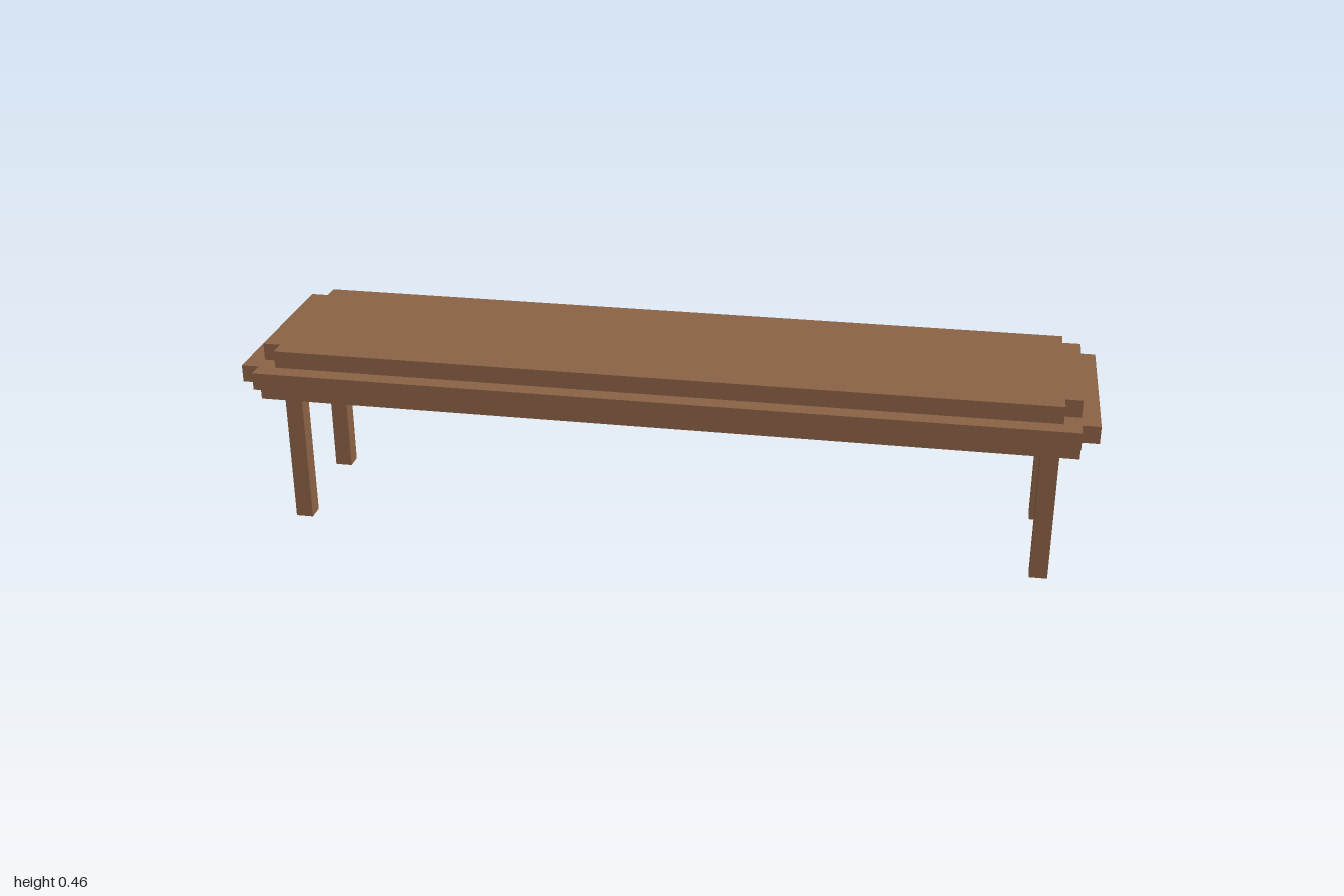
import * as THREE from 'three';

const U = 1 / 24; // one board thickness

export function createModel() {
  const group = new THREE.Group();
  const wood = new THREE.MeshStandardMaterial({ color: 0x8b6245 });
  wood.name = 'brown wood';

  // Board with one-unit square notches at the back corners, and optionally the front ones
  function board(name, halfX, halfZ, bottom, notchFront) {
    const f = notchFront ? 1 : 0;
    const outline = [
      [halfX - 1, halfZ], [halfX - 1, halfZ - 1], [halfX, halfZ - 1],
    ];
    if (f) outline.push([halfX, 1 - halfZ], [halfX - 1, 1 - halfZ], [halfX - 1, -halfZ]);
    else outline.push([halfX, -halfZ]);
    const mirrored = outline.map(([x, y]) => [-x, y]).reverse();
    const shape = new THREE.Shape(
      [...outline, ...mirrored].map(([x, y]) => new THREE.Vector2(x * U, y * U)));
    const geometry = new THREE.ExtrudeGeometry(shape, { depth: U, bevelEnabled: false });
    geometry.rotateX(-Math.PI / 2); // outline +y becomes the back (-z)
    const mesh = new THREE.Mesh(geometry, wood);
    mesh.name = name;
    mesh.position.y = bottom * U;
    group.add(mesh);
  }

  // Stacked table top
  board('lowerBoard', 23, 5, 8, false);
  board('middleBoard', 24, 6, 9, true);
  board('upperBoard', 23, 5, 10, true);

  // Square legs
  const legGeometry = new THREE.BoxGeometry(U, 8 * U, U);
  for (const [sx, side] of [[1, 'Left'], [-1, 'Right']]) {
    for (const [sz, end] of [[1, 'front'], [-1, 'back']]) {
      const leg = new THREE.Mesh(legGeometry, wood);
      leg.name = end + side + 'Leg';
      leg.position.set(sx * 21.5 * U, 4 * U, sz * 3.5 * U);
      group.add(leg);
    }
  }
  return group;
}
